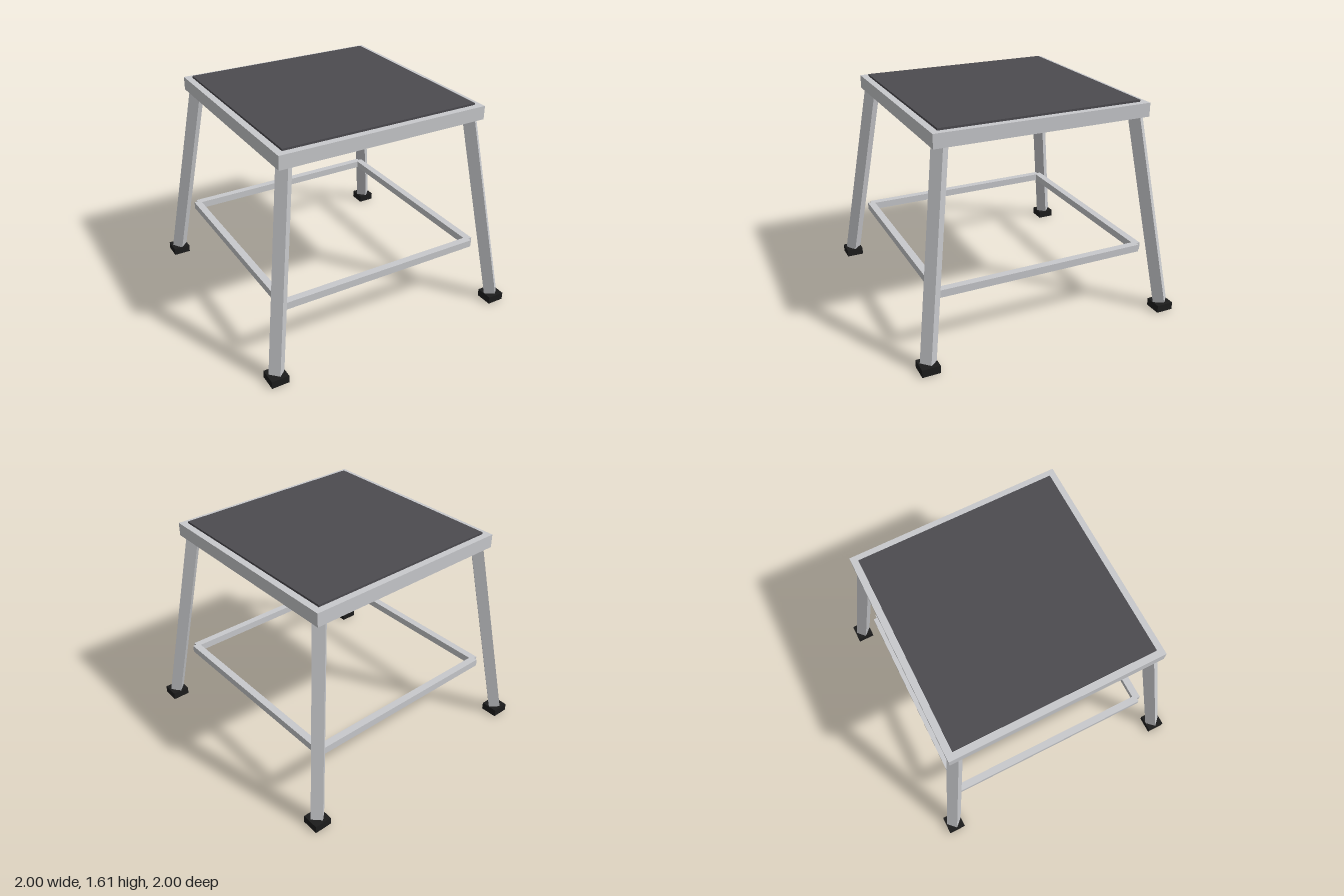
import * as THREE from 'three';

const material = (name, color) => {
  const m = new THREE.MeshStandardMaterial({ color });
  m.name = name;
  return m;
};

export function createModel() {
  const stool = new THREE.Group();
  stool.name = 'stepStool';
  const metal = material('brushed metal', 0xc8c9cc);
  const matGrey = material('dark grey mat', 0x4c4b50);
  const rubber = material('black rubber', 0x1c1c1c);

  const box = (name, [w, h, d], [x, y, z], mat) => {
    const mesh = new THREE.Mesh(new THREE.BoxGeometry(w, h, d), mat);
    mesh.name = name;
    mesh.position.set(x, y, z);
    stool.add(mesh);
    return mesh;
  };

  // Platform with its anti-slip mat
  box('platform', [1.6, 0.1, 1.6], [0, 1.54, 0], metal);
  box('mat', [1.5, 0.015, 1.5], [0, 1.5975, 0], matGrey);

  // Square legs splayed along the diagonals, each in a rubber foot
  const up = new THREE.Vector3(0, 1, 0);
  for (const sx of [-1, 1]) {
    for (const sz of [-1, 1]) {
      const name = (sz > 0 ? 'front' : 'back') + (sx > 0 ? 'Left' : 'Right');
      const bottom = new THREE.Vector3(0.932 * sx, 0.06, 0.932 * sz);
      const top = new THREE.Vector3(0.73 * sx, 1.49, 0.73 * sz);
      const axis = top.clone().sub(bottom);
      const mid = top.clone().add(bottom).multiplyScalar(0.5);
      const leg = box(name + 'Leg', [0.085, axis.length(), 0.085], mid.toArray(), metal);
      // Lean along the diagonal after turning the square section by 45 degrees
      leg.quaternion.setFromUnitVectors(up, axis.normalize())
        .multiply(new THREE.Quaternion().setFromAxisAngle(up, Math.PI / 4));
      box(name + 'Foot', [0.13, 0.057, 0.13], [0.935 * sx, 0.0285, 0.935 * sz], rubber);
    }
  }

  // Ring of stretcher rails between the legs
  const r = 0.787, t = 0.055;
  for (const s of [-1, 1]) {
    box(s > 0 ? 'frontRail' : 'backRail', [2 * r, t, t], [0, 0.478, s * r], metal);
    box(s > 0 ? 'leftRail' : 'rightRail', [t, t, 2 * r], [s * r, 0.478, 0], metal);
  }
  return stool;
}
